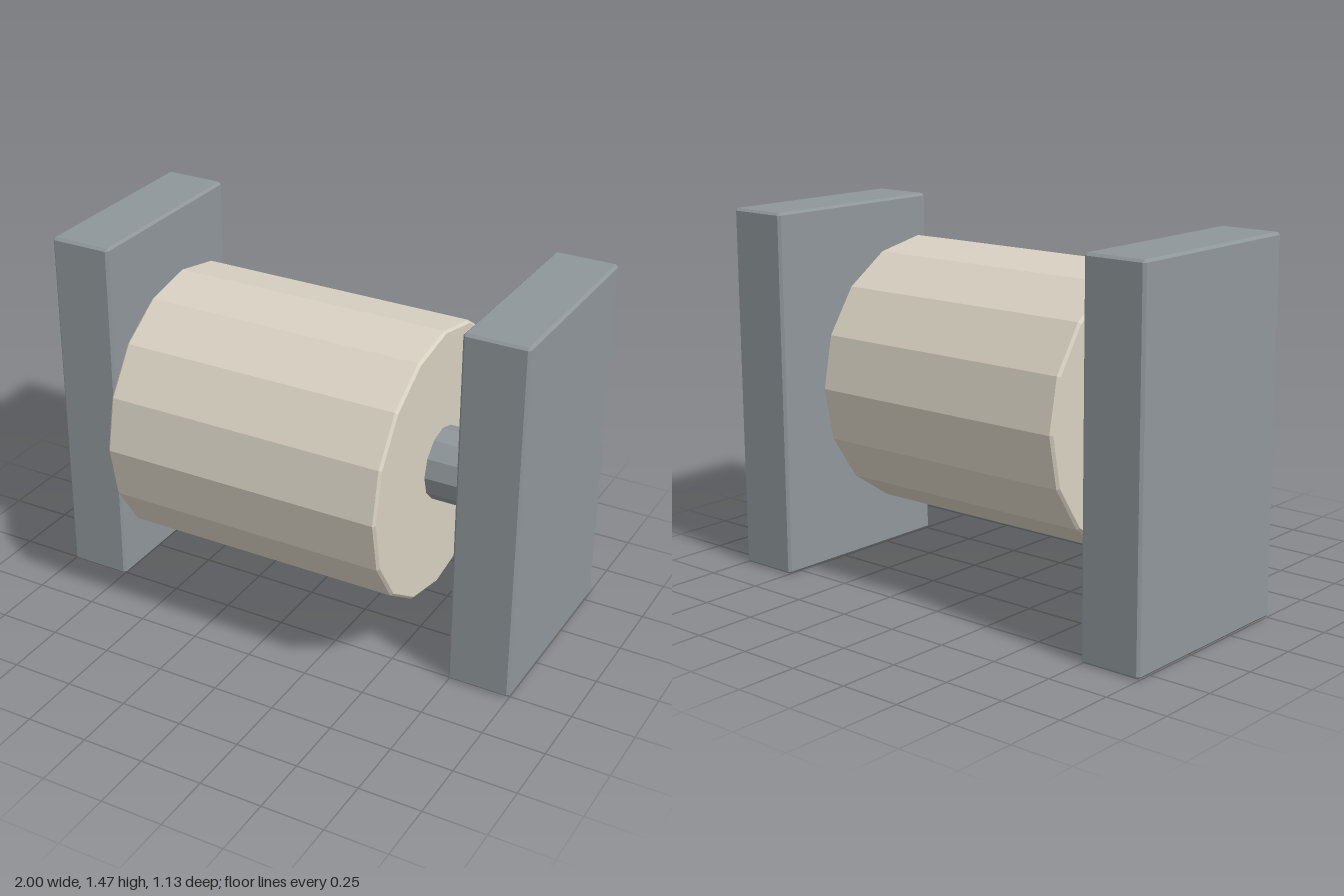
import * as THREE from 'three';
import { ConvexGeometry } from 'three/addons/geometries/ConvexGeometry.js';

const BEVEL = 0.01;

// Box with chamfered edges: three points around every corner
function chamferedBox(w, h, d, b) {
  const points = [];
  for (const sx of [-1, 1]) for (const sy of [-1, 1]) for (const sz of [-1, 1]) {
    const x = w / 2, y = h / 2, z = d / 2;
    points.push(
      new THREE.Vector3(sx * x, sy * (y - b), sz * (z - b)),
      new THREE.Vector3(sx * (x - b), sy * y, sz * (z - b)),
      new THREE.Vector3(sx * (x - b), sy * (y - b), sz * z)
    );
  }
  return new ConvexGeometry(points);
}

// Faceted roller lying along x, with chamfered rims
function roller(radius, half, sides, b) {
  const profile = [
    [0, -half], [radius - b, -half], [radius, -half + b],
    [radius, half - b], [radius - b, half], [0, half]
  ].map(([r, y]) => new THREE.Vector2(r, y));
  return new THREE.LatheGeometry(profile, sides).rotateZ(Math.PI / 2);
}

export function createModel() {
  const group = new THREE.Group();
  const steel = new THREE.MeshStandardMaterial({ color: 0x8f969a, flatShading: true });
  steel.name = 'steel grey';
  const cream = new THREE.MeshStandardMaterial({ color: 0xd8d1c2, flatShading: true });
  cream.name = 'cream';

  const add = (name, geometry, material, x, y, z) => {
    const mesh = new THREE.Mesh(geometry, material);
    mesh.name = name;
    mesh.position.set(x, y, z);
    group.add(mesh);
  };

  // Drum between the plates
  add('drum', roller(0.543, 0.573, 16, BEVEL), cream, 0, 0.79, 0.022);

  // Side plates and the axle stubs that carry the drum
  for (const [side, s] of [['left', 1], ['right', -1]]) {
    add(side + 'Plate', chamferedBox(0.256, 1.466, 0.83, BEVEL), steel, s * 0.872, 0.733, -0.152);
    add(side + 'Axle', roller(0.144, 0.11, 12, 0.005), steel, s * 0.66, 0.79, 0.022);
  }
  return group;
}
